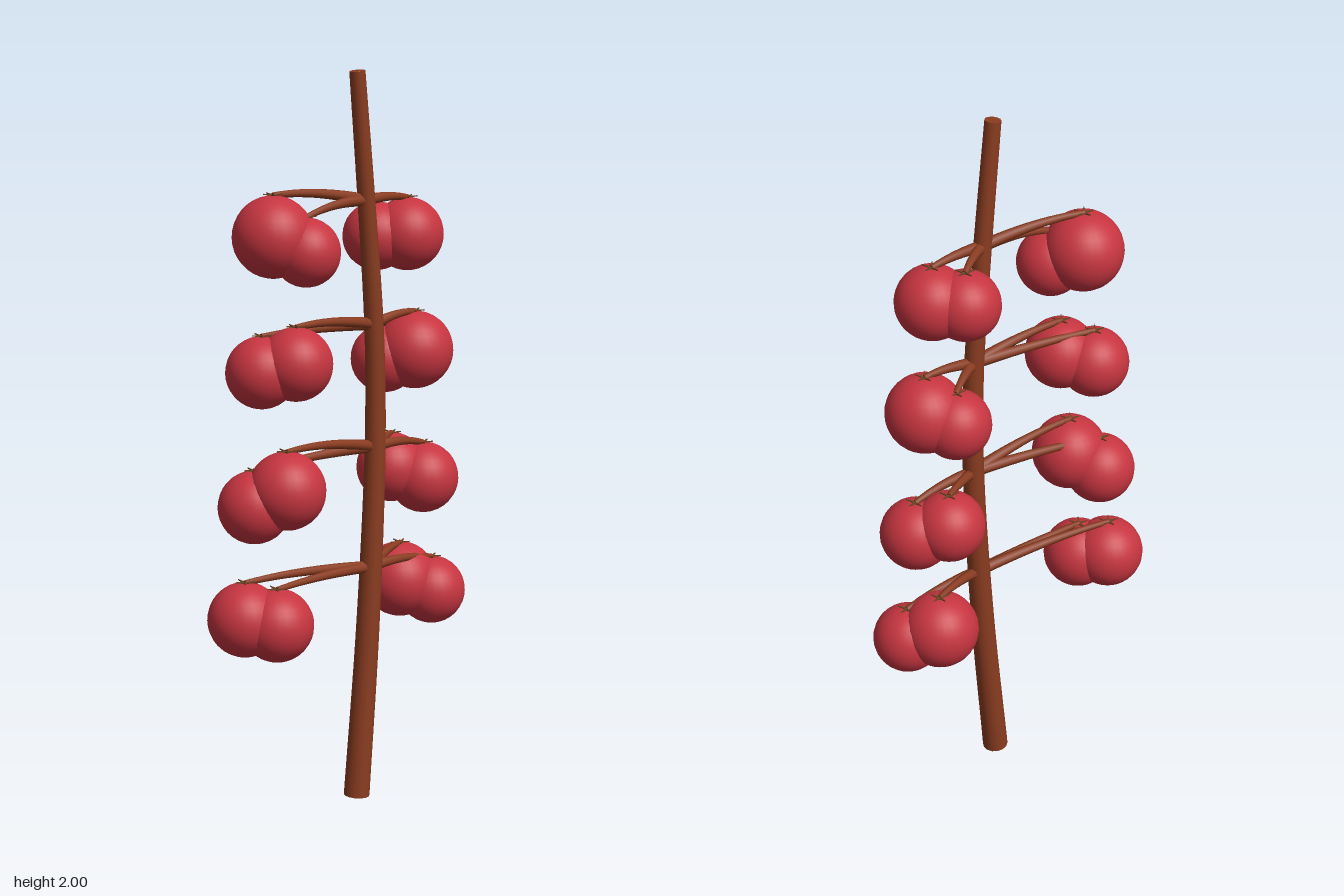
import * as THREE from 'three';

const bark = new THREE.MeshStandardMaterial({ color: 0x8a3c20 });
bark.name = 'bark brown';
const berryRed = new THREE.MeshStandardMaterial({ color: 0xc63540 });
berryRed.name = 'berry red';
const calyxBrown = new THREE.MeshStandardMaterial({ color: 0x6b4522, side: THREE.DoubleSide });
calyxBrown.name = 'calyx brown';

const Z = 0.03; // depth of the main stem
const stemCurve = new THREE.CatmullRomCurve3(
  [[0.03, 0.003], [0.073, 0.5], [0.098, 1.0], [0.093, 1.3], [0.062, 1.66], [0.028, 1.998]]
    .map(([x, y]) => new THREE.Vector3(x, y, Z)));

// Each tier: height of the node, then berries as [x, y, z, radius]
const tiers = [
  [0.65, [[-0.325, 0.58, -0.03, 0.1], [-0.267, 0.565, 0.032, 0.098],
    [0.257, 0.57, -0.03, 0.105], [0.325, 0.537, 0.028, 0.095]]],
  [0.985, [[-0.288, 0.88, -0.03, 0.097], [-0.23, 0.925, 0.032, 0.104],
    [0.222, 0.9, -0.032, 0.096], [0.288, 0.87, 0.028, 0.098]]],
  [1.325, [[-0.257, 1.235, -0.032, 0.095], [-0.193, 1.257, 0.03, 0.097],
    [0.195, 1.21, -0.032, 0.093], [0.25, 1.235, 0.028, 0.106]]],
  [1.66, [[-0.215, 1.585, -0.03, 0.107], [-0.155, 1.545, 0.03, 0.09],
    [0.16, 1.55, -0.03, 0.092], [0.222, 1.555, 0.025, 0.098]]],
];

// Round tube that tapers from r0 to r1, closed at both ends
function taperedTube(name, curve, segments, sides, r0, r1) {
  const group = new THREE.Group();
  group.name = name;
  const geo = new THREE.TubeGeometry(curve, segments, 1, sides);
  const pos = geo.attributes.position;
  const v = new THREE.Vector3();
  for (let i = 0; i < pos.count; i++) {
    const t = Math.floor(i / (sides + 1)) / segments;
    const c = curve.getPointAt(t);
    v.fromBufferAttribute(pos, i).sub(c).multiplyScalar(r0 + (r1 - r0) * t).add(c);
    pos.setXYZ(i, v.x, v.y, v.z);
  }
  group.add(new THREE.Mesh(geo, bark));
  for (const [t, r, dir] of [[0, r0, -1], [1, r1, 1]]) {
    const cap = new THREE.Mesh(new THREE.CircleGeometry(r, sides), bark);
    cap.position.copy(curve.getPointAt(t));
    cap.quaternion.setFromUnitVectors(new THREE.Vector3(0, 0, 1),
      curve.getTangentAt(t).multiplyScalar(dir));
    group.add(cap);
  }
  return group;
}

// Five-pointed star of sepals, drooping slightly at the tips
function calyxGeometry() {
  const shape = new THREE.Shape();
  for (let i = 0; i < 10; i++) {
    const a = i * Math.PI / 5 + 0.3;
    const r = i % 2 ? 0.007 : 0.027;
    shape[i ? 'lineTo' : 'moveTo'](Math.cos(a) * r, Math.sin(a) * r);
  }
  const geo = new THREE.ExtrudeGeometry(shape, { depth: 0.003, bevelEnabled: false });
  geo.rotateX(-Math.PI / 2);
  const pos = geo.attributes.position;
  for (let i = 0; i < pos.count; i++) {
    const r = Math.hypot(pos.getX(i), pos.getZ(i));
    pos.setY(i, pos.getY(i) + (r > 0.015 ? 0.003 : 0));
  }
  geo.computeVertexNormals();
  return geo;
}

export function createModel() {
  const model = new THREE.Group();
  model.name = 'berryBranch';
  model.add(taperedTube('mainStem', stemCurve, 32, 14, 0.036, 0.021));

  const ball = new THREE.SphereGeometry(1, 28, 18);
  const star = calyxGeometry();

  for (const [nodeY, berries] of tiers) {
    const tier = new THREE.Group();
    tier.name = 'berryTier';
    const node = stemCurve.getPoint(0);
    // Stem centre at the height of the node
    for (let i = 0; i <= 200; i++) {
      const p = stemCurve.getPoint(i / 200);
      if (Math.abs(p.y - nodeY) < Math.abs(node.y - nodeY)) node.copy(p);
    }
    for (const [x, y, z, r] of berries) {
      const tip = new THREE.Vector3(x, y + r, z);
      // Twig arches gently from the stem to the berry top
      const bend = node.clone().lerp(tip, 0.55);
      bend.y = Math.max(node.y, tip.y) + 0.008;
      const twig = new THREE.QuadraticBezierCurve3(node, bend, tip);
      tier.add(taperedTube('twig', twig, 12, 8, 0.016, 0.008));

      const berry = new THREE.Mesh(ball, berryRed);
      berry.name = 'berry';
      berry.position.set(x, y, z);
      berry.scale.setScalar(r);
      tier.add(berry);

      const calyx = new THREE.Mesh(star, calyxBrown);
      calyx.name = 'calyx';
      calyx.position.set(x, y + r, z);
      tier.add(calyx);
    }
    model.add(tier);
  }
  return model;
}
